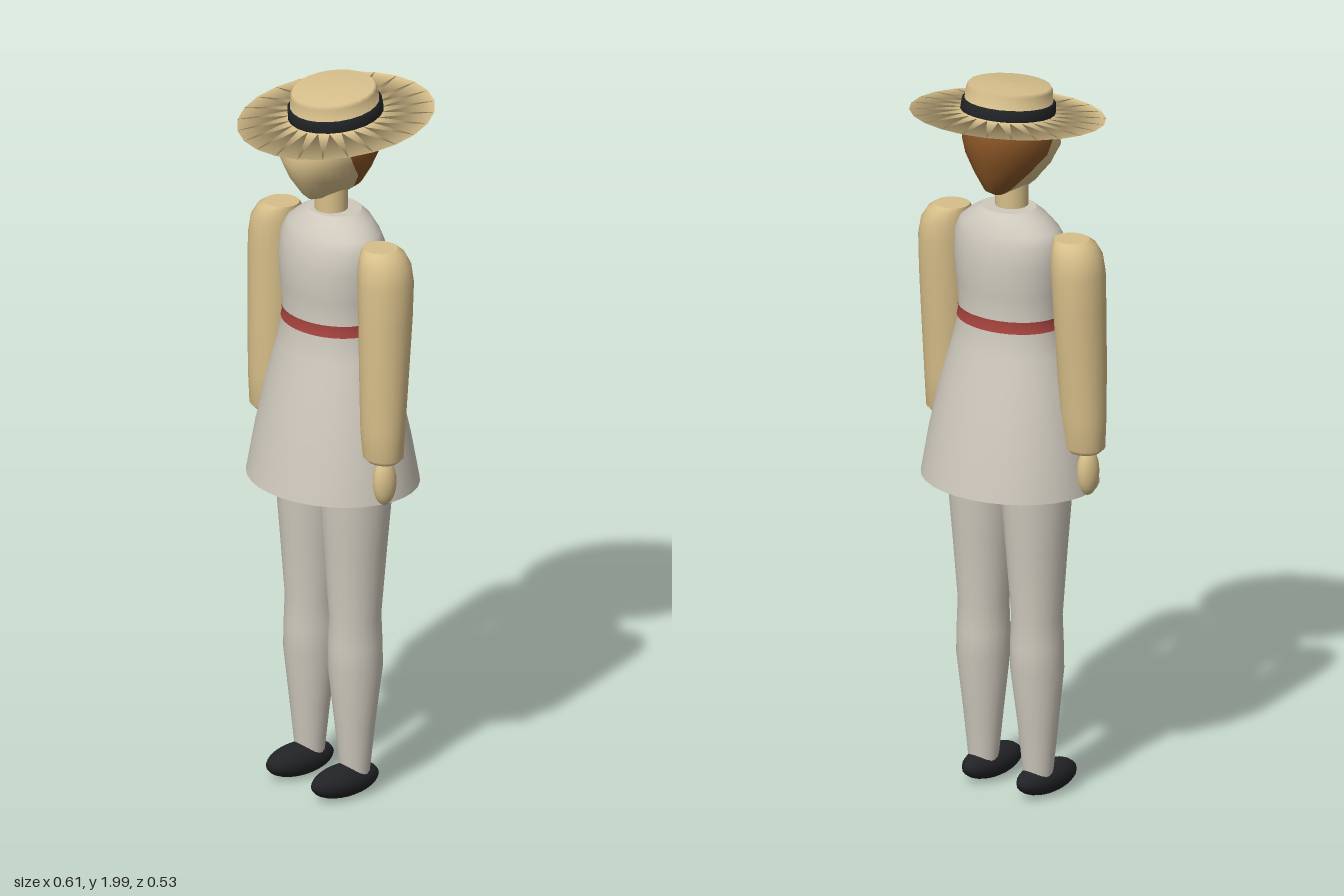
import * as THREE from 'three';

const mat = (name, color, side = THREE.FrontSide) => {
  const m = new THREE.MeshStandardMaterial({ color, side });
  m.name = name;
  return m;
};

// Smooth elliptical loft. Sections run upward: [y, cx, cz, rx, rz, zSplit].
// With a zSplit, group 0 is the surface in front of it and group 1 the rest.
function loft(sections, segs, capBottom = true, capTop = true) {
  const pos = [], groups = [[], []], half = segs / 2;
  const split = sections[0].length > 5;
  for (const [y, cx, cz, rx, rz, zs] of sections) {
    const edge = split ? Math.acos((zs - cz) / rz) : Math.PI / 2;
    for (let j = 0; j < segs; j++) {
      const a = j <= half
        ? -edge + (2 * edge * j) / half
        : edge + ((2 * Math.PI - 2 * edge) * (j - half)) / half;
      pos.push(cx + rx * Math.sin(a), y, cz + rz * Math.cos(a));
    }
  }
  for (let i = 0; i < sections.length - 1; i++) {
    for (let j = 0; j < segs; j++) {
      const a = i * segs + j, b = i * segs + (j + 1) % segs;
      groups[split && j >= half ? 1 : 0].push(a, b, b + segs, a, b + segs, a + segs);
    }
  }
  // Caps have their own vertices so that their rims stay sharp
  const cap = (i, up) => {
    const [y, cx, cz] = sections[i], base = pos.length / 3;
    const ring = pos.slice(i * segs * 3, (i + 1) * segs * 3);
    pos.push(...ring, cx, y, cz);
    for (let j = 0; j < segs; j++) {
      const a = base + j, b = base + (j + 1) % segs, c = base + segs;
      groups[split && j >= half ? 1 : 0].push(...(up ? [a, b, c] : [b, a, c]));
    }
  };
  if (capBottom) cap(0, false);
  if (capTop) cap(sections.length - 1, true);
  const g = new THREE.BufferGeometry();
  g.setAttribute('position', new THREE.Float32BufferAttribute(pos, 3));
  g.setIndex([...groups[0], ...groups[1]]);
  if (split) {
    g.addGroup(0, groups[0].length, 0);
    g.addGroup(groups[0].length, groups[1].length, 1);
  }
  g.computeVertexNormals();
  return g;
}

export function createModel() {
  const model = new THREE.Group();
  const linen = mat('linen', 0xcfc9bd, THREE.DoubleSide);
  const tan = mat('tan', 0xd8bf8a);
  const straw = mat('straw', 0xd8c08c, THREE.DoubleSide);
  const brown = mat('hair brown', 0x8a5526);
  const black = mat('black', 0x222326);
  const red = mat('belt red', 0xa8443e);

  const add = (name, geometry, material, parent = model) => {
    const mesh = new THREE.Mesh(geometry, material);
    mesh.name = name;
    parent.add(mesh);
    return mesh;
  };
  const ellipsoid = (rx, ry, rz) => new THREE.SphereGeometry(1, 20, 14).scale(rx, ry, rz);

  // Dress with an open hem
  add('dress', loft([
    [0.877, 0, 0.01, 0.252, 0.216],
    [1.0, 0, 0.01, 0.232, 0.193],
    [1.15, 0, 0.011, 0.2, 0.16],
    [1.25, 0, 0.012, 0.171, 0.134],
    [1.34, 0, 0.012, 0.148, 0.117],
    [1.42, 0, 0.013, 0.158, 0.124],
    [1.5, 0, 0.012, 0.166, 0.128],
    [1.56, 0, 0.01, 0.166, 0.117],
    [1.59, 0, 0.008, 0.15, 0.104],
    [1.62, 0, 0.005, 0.112, 0.088],
    [1.64, 0, 0.004, 0.078, 0.068],
  ], 32, false, true), linen);

  // Belt hugging the waist
  add('belt', loft([
    [1.322, 0, 0.012, 0.156, 0.124],
    [1.34, 0, 0.012, 0.152, 0.121],
    [1.355, 0, 0.012, 0.154, 0.122],
  ], 32, false, false), red);

  add('neck', new THREE.CylinderGeometry(0.044, 0.044, 0.11, 20).translate(0, 1.675, 0.016), tan);

  // Head: face in front, hair behind the split
  add('head', loft([
    [1.682, 0, 0.02, 0.018, 0.07, -0.035],
    [1.70, 0, 0.014, 0.042, 0.096, -0.03],
    [1.75, 0, 0.02, 0.085, 0.124, -0.01],
    [1.80, 0, 0.021, 0.113, 0.143, 0.03],
    [1.84, 0, 0.012, 0.121, 0.14, 0.048],
    [1.88, 0, 0.005, 0.119, 0.13, 0.06],
    [1.93, 0, 0, 0.09, 0.1, 0.05],
  ], 32), [tan, brown]);

  // Hat, tipped towards the face
  const hat = new THREE.Group();
  hat.name = 'hat';
  hat.position.y = 1.897;
  hat.rotation.x = 0.11;
  hat.scale.x = 0.957;
  model.add(hat);
  const v = (x, y) => new THREE.Vector2(x, y);
  add('brimAndCrown', new THREE.LatheGeometry([
    v(0.11, -0.004), v(0.268, 0), v(0.124, 0.006), v(0.118, 0.072), v(0.112, 0.082), v(0, 0.086),
  ], 24), straw, hat);
  add('hatBand', new THREE.LatheGeometry([
    v(0.124, 0.008), v(0.13, 0.01), v(0.128, 0.038), v(0.12, 0.04),
  ], 24), black, hat);

  // Limbs, mirrored to both sides
  for (const s of [1, -1]) {
    const side = s > 0 ? 'left' : 'right';
    add(side + 'Sleeve', loft([
      [0.998, s * 0.24, 0.032, 0.045, 0.038],
      [1.012, s * 0.24, 0.032, 0.06, 0.052],
      [1.1, s * 0.239, 0.031, 0.064, 0.058],
      [1.25, s * 0.238, 0.026, 0.067, 0.066],
      [1.4, s * 0.236, 0.02, 0.069, 0.074],
      [1.5, s * 0.234, 0.017, 0.07, 0.077],
      [1.55, s * 0.228, 0.017, 0.067, 0.073],
      [1.58, s * 0.219, 0.017, 0.057, 0.06],
      [1.592, s * 0.21, 0.017, 0.048, 0.046],
    ], 20), tan);
    const hand = add(side + 'Hand', ellipsoid(0.027, 0.065, 0.034), tan);
    hand.position.set(s * 0.252, 0.942, 0.035);

    add(side + 'Leg', loft([
      [0.06, s * 0.096, 0.012, 0.041, 0.038],
      [0.2, s * 0.096, 0.012, 0.054, 0.054],
      [0.36, s * 0.095, 0.01, 0.07, 0.075],
      [0.43, s * 0.094, 0.01, 0.07, 0.074],
      [0.51, s * 0.094, 0.01, 0.067, 0.071],
      [0.7, s * 0.094, 0.009, 0.08, 0.087],
      [0.877, s * 0.095, 0.008, 0.093, 0.102],
      [0.98, s * 0.095, 0.008, 0.095, 0.105],
    ], 20), linen);
    const shoe = add(side + 'Shoe', ellipsoid(0.049, 0.045, 0.108), black);
    shoe.position.set(s * 0.096, 0.045, 0.046);
  }
  return model;
}
